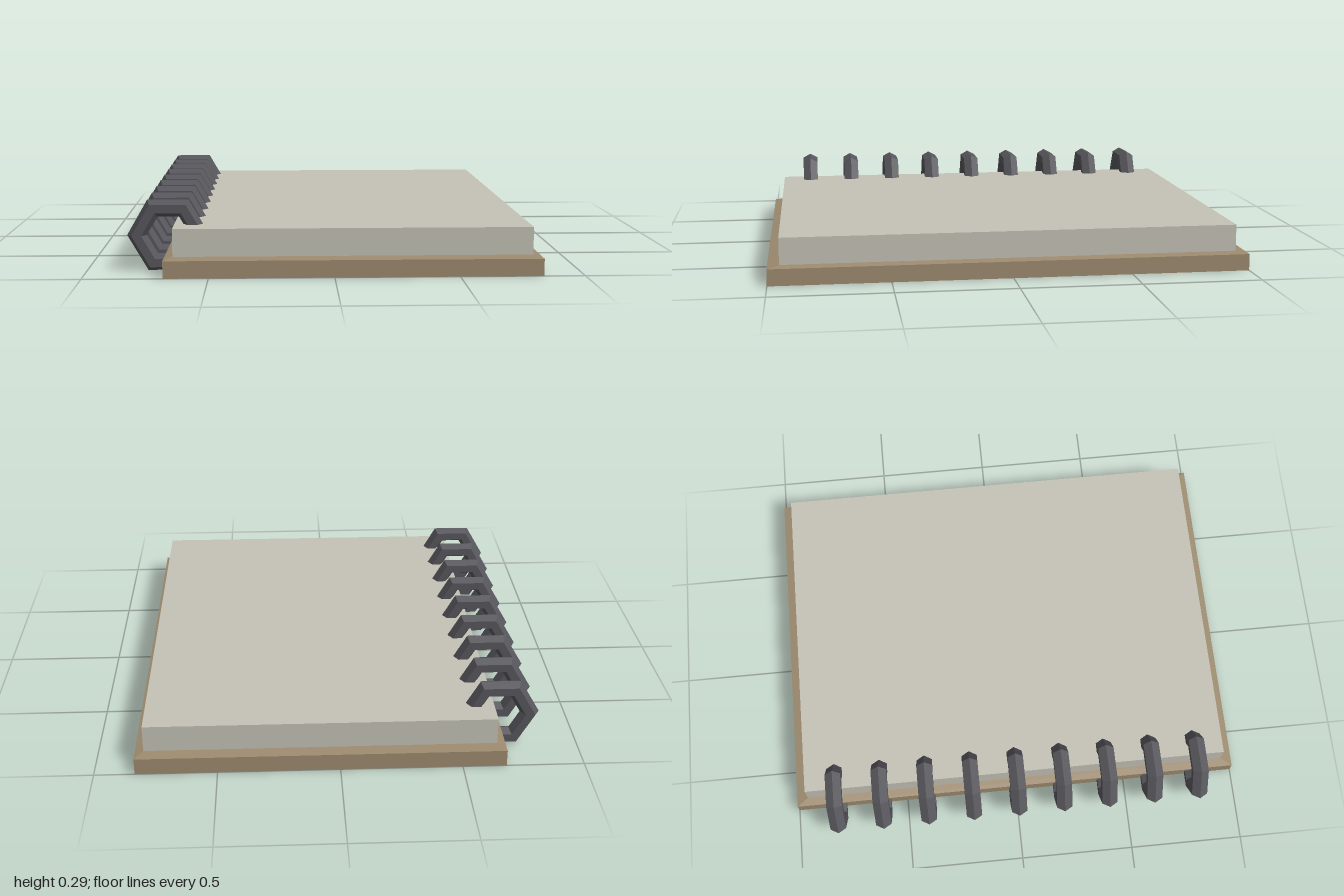
import * as THREE from 'three';

const material = (name, color) => {
  const m = new THREE.MeshStandardMaterial({ color, flatShading: true });
  m.name = name;
  return m;
};

// Box between two corners, its top face optionally drawn in on x and z
function block(name, mat, [x0, y0, z0], [x1, y1, z1], insetX = 0, insetZ = 0) {
  const geo = new THREE.BoxGeometry(x1 - x0, y1 - y0, z1 - z0);
  const p = geo.attributes.position;
  for (let i = 0; i < p.count; i++) {
    if (p.getY(i) < 0) continue;
    p.setX(i, p.getX(i) - Math.sign(p.getX(i)) * insetX);
    p.setZ(i, p.getZ(i) - Math.sign(p.getZ(i)) * insetZ);
  }
  geo.computeVertexNormals();
  const mesh = new THREE.Mesh(geo, mat);
  mesh.name = name;
  mesh.position.set((x0 + x1) / 2, (y0 + y1) / 2, (z0 + z1) / 2);
  return mesh;
}

export function createModel() {
  const group = new THREE.Group();
  group.name = 'spiralNotepad';
  const cardboard = material('cardboard brown', 0x9c8a6e);
  const paper = material('paper grey', 0xc4c2b5);
  const wire = material('dark wire', 0x56565c);

  // Backing board, with a rim sloping up to the paper
  group.add(block('backCover', cardboard, [-0.68, 0, -1], [0.835, 0.07, 1]));
  group.add(block('coverRim', cardboard, [-0.68, 0.07, -1], [0.835, 0.078, 1], 0.036, 0.05));

  // Paper block
  group.add(block('pages', paper, [-0.644, 0.078, -0.95], [0.799, 0.19, 0.95]));

  // Nine six-sided binding rings along the left edge of the pad
  const rings = new THREE.Group();
  rings.name = 'bindingRings';
  const ringGeo = new THREE.TorusGeometry(0.127, 0.04, 6, 6);
  for (let i = 0; i < 9; i++) {
    const ring = new THREE.Mesh(ringGeo, wire);
    ring.name = `ring${i + 1}`;
    ring.position.set(-0.669, 0.145, (i - 4) * 0.204 + 0.003);
    rings.add(ring);
  }
  group.add(rings);
  return group;
}
